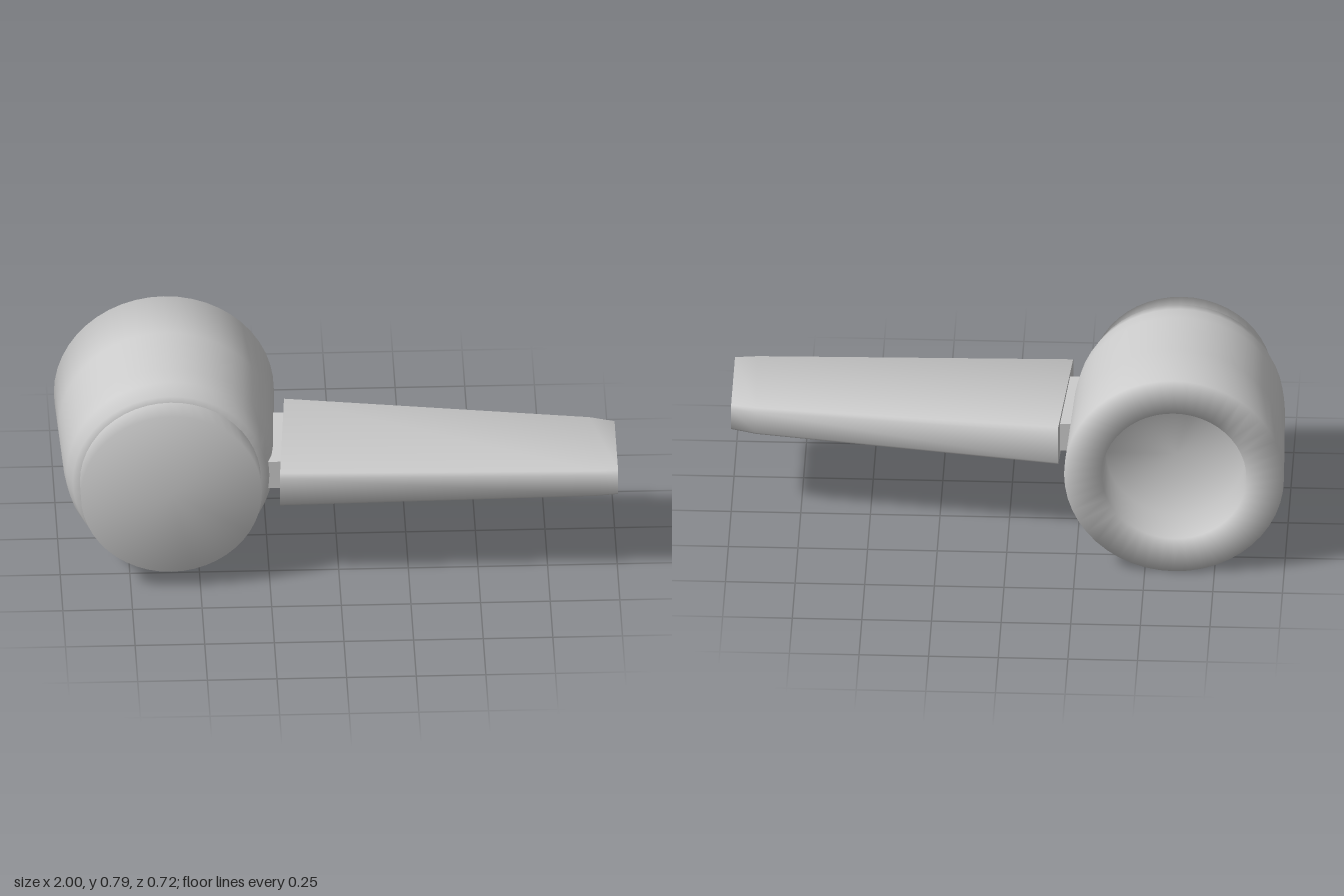
import * as THREE from 'three';
import { toCreasedNormals } from 'three/addons/utils/BufferGeometryUtils.js';

const material = new THREE.MeshStandardMaterial({ color: 0xcccccc, side: THREE.DoubleSide });
const AXIS_X = -0.605, AXIS_Y = 0.398;

function addMesh(group, name, geometry) {
  const mesh = new THREE.Mesh(geometry, material);
  mesh.name = name;
  group.add(mesh);
  return mesh;
}

// Round part turned about the z axis, profile given as [radius, z] from back to front
function turned(profile) {
  const geometry = new THREE.LatheGeometry(profile.map(([r, z]) => new THREE.Vector2(r, z)), 48);
  return geometry.rotateX(Math.PI / 2).translate(AXIS_X, AXIS_Y, 0);
}

// Chamfered cross-section in the yz plane, running y -> z -> -y -> -z
function section({ back, front, xBack, xFront, hBack, hFront, c }) {
  const corners = [
    [back + c, hBack], [front - c, hFront], [front, hFront - c], [front, c - hFront],
    [front - c, -hFront], [back + c, -hBack], [back, c - hBack], [back, hBack - c],
  ];
  return corners.map(([z, y]) => {
    const t = (z - back) / (front - back);
    return [xBack + (xFront - xBack) * t, AXIS_Y + y, z];
  });
}

// Skin over equal cross-sections with both ends closed
function loft(rings) {
  const n = rings[0].length, last = rings.length - 1;
  const centre = (ring) => [0, 1, 2].map((k) => ring.reduce((s, p) => s + p[k], 0) / n);
  const points = [...rings.flat(), centre(rings[0]), centre(rings[last])];
  const start = n * rings.length, end = start + 1;
  const index = [];
  for (let j = 0; j < n; j++) {
    const k = (j + 1) % n;
    for (let i = 0; i < last; i++) {
      const a = i * n + j, b = i * n + k;
      index.push(a, b, b + n, a, b + n, a + n);
    }
    index.push(start, k, j, end, last * n + j, last * n + k);
  }
  const geometry = new THREE.BufferGeometry();
  geometry.setAttribute('position', new THREE.Float32BufferAttribute(points.flat(), 3));
  geometry.setIndex(index);
  return toCreasedNormals(geometry, Math.PI * 0.3);
}

export function createModel() {
  const group = new THREE.Group();
  group.name = 'handledCup';

  // Barrel with a recessed back and a rounded front shoulder
  addMesh(group, 'barrel', turned([
    [0, -0.2], [0.25, -0.2], [0.26, -0.36], [0.395, -0.36], [0.387, -0.12],
    [0.379, 0.12], [0.37, 0.195], [0.35, 0.262], [0.3, 0.262],
  ]));

  // Narrower front plug
  addMesh(group, 'frontPlug', turned([[0.325, 0.25], [0.325, 0.36], [0, 0.36]]));

  // Short neck bridging the barrel and the handle
  const neck = addMesh(group, 'neck', new THREE.BoxGeometry(0.09, 0.11, 0.34));
  neck.position.set(-0.225, AXIS_Y, 0.07);

  // Tapering handle with a chamfered tip
  addMesh(group, 'handle', loft([
    section({ back: -0.175, front: 0.355, xBack: -0.18, xFront: -0.215, hBack: 0.076, hFront: 0.067, c: 0.014 }),
    section({ back: -0.04, front: 0.355, xBack: 0.91, xFront: 0.92, hBack: 0.054, hFront: 0.052, c: 0.012 }),
    section({ back: -0.016, front: 0.348, xBack: 1, xFront: 1, hBack: 0.05, hFront: 0.05, c: 0.012 }),
  ]));

  return group;
}
